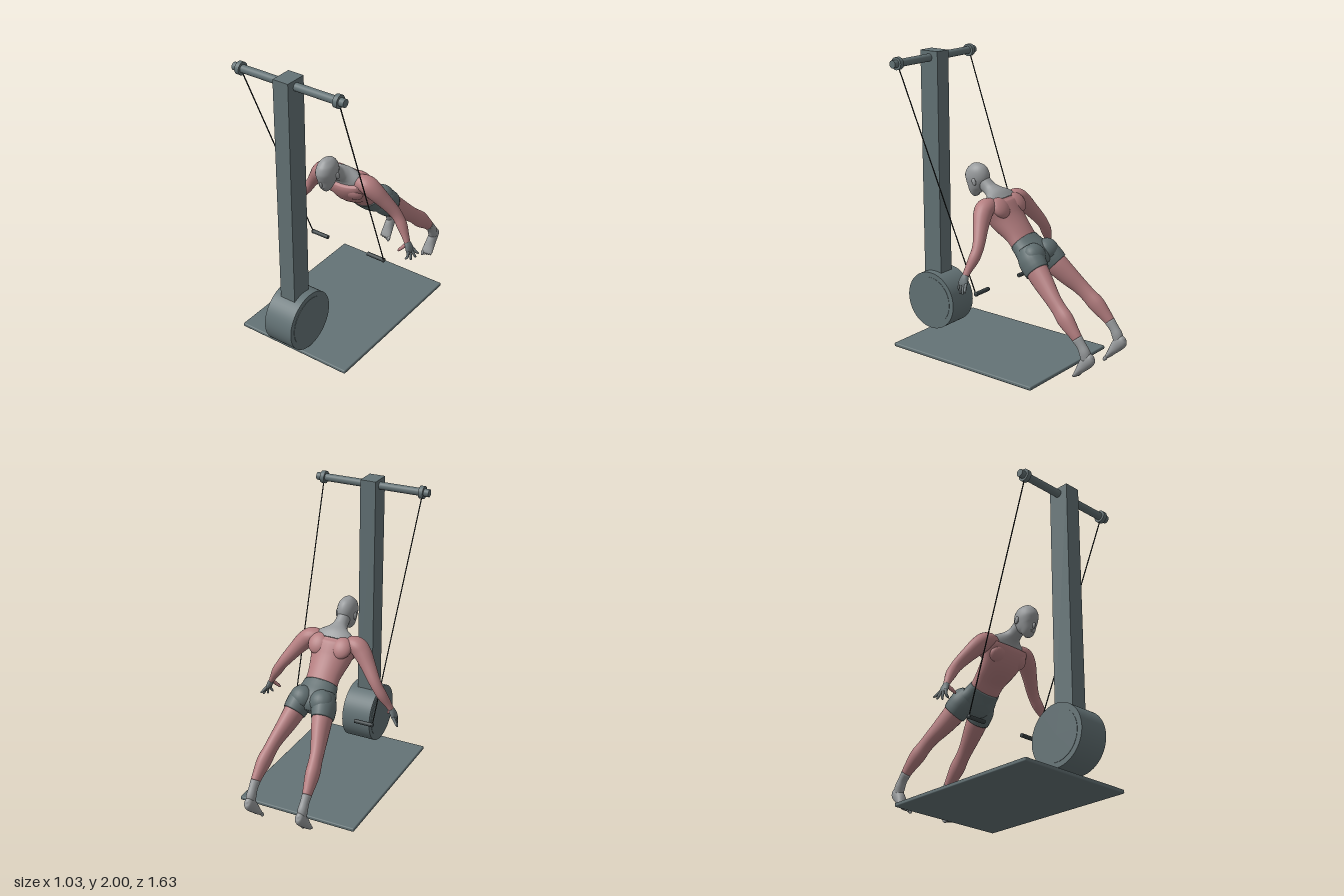
import * as THREE from 'three';
import { RoundedBoxGeometry } from 'three/addons/geometries/RoundedBoxGeometry.js';

const material = (name, color) => {
  const m = new THREE.MeshStandardMaterial({ color });
  m.name = name;
  return m;
};

// Smooth body from elliptical sections: each row is [x, y, z, radius along ref, radius across].
function loft(rows, ref = new THREE.Vector3(1, 0, 0), sides = 24, steps = 5) {
  const spline = (pts) => new THREE.CatmullRomCurve3(pts, false, 'catmullrom', 0.5);
  const path = spline(rows.map((r) => new THREE.Vector3(r[0], r[1], r[2])));
  const size = spline(rows.map((r) => new THREE.Vector3(r[3], r[4], 0)));
  const n = (rows.length - 1) * steps;
  const pos = [], index = [];
  for (let i = 0; i <= n; i++) {
    const c = path.getPoint(i / n), s = size.getPoint(i / n), t = path.getTangent(i / n);
    const u = ref.clone().addScaledVector(t, -ref.dot(t)).normalize();
    const v = t.clone().cross(u);
    for (let j = 0; j < sides; j++) {
      const a = (j / sides) * Math.PI * 2;
      const p = c.clone().addScaledVector(u, Math.cos(a) * s.x).addScaledVector(v, Math.sin(a) * s.y);
      pos.push(p.x, p.y, p.z);
    }
  }
  const first = (n + 1) * sides, last = first + 1;
  pos.push(...rows[0].slice(0, 3), ...rows[rows.length - 1].slice(0, 3));
  for (let j = 0; j < sides; j++) {
    const k = (j + 1) % sides;
    index.push(first, k, j, last, n * sides + j, n * sides + k);
    for (let i = 0; i < n; i++) {
      const a = i * sides, b = a + sides;
      index.push(a + j, a + k, b + k, a + j, b + k, b + j);
    }
  }
  const g = new THREE.BufferGeometry();
  g.setAttribute('position', new THREE.Float32BufferAttribute(pos, 3));
  g.setIndex(index);
  g.computeVertexNormals();
  return g;
}

export function createModel() {
  const model = new THREE.Group();
  const frame = material('frame slate', 0x647376);
  const cable = material('cable black', 0x202424);
  const grip = material('grip charcoal', 0x3a4244);
  const muscle = material('muscle pink', 0xb47e80);
  const skin = material('skin grey', 0x979a9c);
  const cloth = material('shorts slate', 0x5f6d6f);
  const glove = material('hand grey', 0x6e787b);

  const add = (name, geo, mat, x = 0, y = 0, z = 0) => {
    const m = new THREE.Mesh(geo, mat);
    m.name = name;
    m.position.set(x, y, z);
    model.add(m);
    return m;
  };
  const ball = (name, mat, x, y, z, rx, ry, rz, tilt = 0) => {
    const m = add(name, new THREE.SphereGeometry(1, 24, 16), mat, x, y, z);
    m.scale.set(rx, ry, rz);
    m.rotation.x = tilt;
  };
  const drumX = (name, r, len, mat, x, y, z, seg = 32) => {
    add(name, new THREE.CylinderGeometry(r, r, len, seg), mat, x, y, z).rotation.z = Math.PI / 2;
  };
  const zAxis = new THREE.Vector3(0, 0, 1);

  // Machine: mat, column, weight drum and crossbar
  add('floorMat', new RoundedBoxGeometry(0.85, 0.026, 1.17, 2, 0.008), frame, 0, 0.013, 0.09);
  add('column', new THREE.BoxGeometry(0.112, 1.6, 0.148), frame, 0, 1.2, 0.634);
  drumX('drum', 0.205, 0.212, frame, 0, 0.255, 0.615, 64);
  drumX('drumCover', 0.17, 0.217, frame, 0, 0.255, 0.615, 64);
  drumX('crossbar', 0.026, 0.82, frame, 0, 1.955, 0.633);

  // Head: stacked horizontal sections from crown to chin
  add('head', loft([
    [0, 1.281, 0.272, 0.004, 0.005], [0, 1.272, 0.272, 0.03, 0.042],
    [0, 1.24, 0.27, 0.056, 0.078], [0, 1.19, 0.27, 0.066, 0.093],
    [0, 1.14, 0.275, 0.06, 0.077], [0, 1.1, 0.282, 0.049, 0.053],
    [0, 1.07, 0.279, 0.034, 0.034], [0, 1.055, 0.272, 0.012, 0.014],
  ]), skin);
  ball('nose', skin, 0, 1.118, 0.335, 0.011, 0.022, 0.017, 0.3);
  ball('lips', skin, 0, 1.085, 0.318, 0.019, 0.009, 0.014);

  // Neck flaring into the collar
  add('neck', loft([
    [0, 1.045, 0.07, 0.155, 0.07], [0, 1.078, 0.098, 0.13, 0.063],
    [0, 1.1, 0.128, 0.075, 0.052], [0, 1.118, 0.16, 0.05, 0.048],
    [0, 1.145, 0.2, 0.045, 0.05], [0, 1.18, 0.24, 0.045, 0.05],
  ]), skin);

  // Torso and pelvis
  add('torso', loft([
    [0, 0.79, -0.14, 0.112, 0.074], [0, 0.815, -0.117, 0.113, 0.075],
    [0, 0.865, -0.07, 0.116, 0.08], [0, 0.945, 0.02, 0.142, 0.1],
    [0, 1.02, 0.07, 0.17, 0.097], [0, 1.058, 0.09, 0.168, 0.076],
  ], undefined, 32), muscle);
  add('pelvis', loft([
    [0, 0.812, -0.12, 0.118, 0.08], [0, 0.785, -0.155, 0.127, 0.084],
    [0, 0.745, -0.205, 0.145, 0.09], [0, 0.705, -0.25, 0.13, 0.082],
    [0, 0.675, -0.278, 0.06, 0.05],
  ], undefined, 32), cloth);

  for (const s of [1, -1]) {
    const side = s > 0 ? 'left' : 'right';
    const limb = (name, rows, mat, ref, sides) =>
      add(side + name, loft(rows.map(([x, ...r]) => [x * s, ...r]), ref, sides), mat);

    // Pulley collar, cable and handle
    drumX(side + 'Collar', 0.042, 0.03, frame, s * 0.36, 1.955, 0.633);
    const line = new THREE.LineCurve3(new THREE.Vector3(s * 0.36, 1.93, 0.625), new THREE.Vector3(s * 0.295, 0.487, 0.05));
    add(side + 'Cable', new THREE.TubeGeometry(line, 1, 0.004, 8), cable);
    drumX(side + 'Handle', 0.014, 0.13, grip, s * 0.23, 0.487, 0.05, 20);
    ball(side + 'HandleEnd', grip, s * 0.295, 0.487, 0.05, 0.01, 0.016, 0.016);

    // Ear, chest, shoulder blade and buttock
    ball(side + 'Ear', skin, s * 0.066, 1.165, 0.248, 0.01, 0.026, 0.016, 0.3);
    ball(side + 'Chest', muscle, s * 0.075, 0.965, 0.098, 0.075, 0.062, 0.04, 0.6);
    ball(side + 'ShoulderBlade', muscle, s * 0.085, 1.035, 0.005, 0.07, 0.075, 0.04, 0.7);
    ball(side + 'Buttock', cloth, s * 0.072, 0.765, -0.262, 0.078, 0.078, 0.066, 0.7);

    // Arm
    limb('Arm', [
      [0.09, 1.04, 0.07, 0.05, 0.05], [0.165, 1.045, 0.068, 0.066, 0.058],
      [0.215, 1.005, 0.055, 0.062, 0.06], [0.27, 0.94, 0.026, 0.05, 0.05],
      [0.325, 0.868, -0.006, 0.041, 0.041], [0.36, 0.818, -0.017, 0.038, 0.036],
      [0.392, 0.768, -0.014, 0.037, 0.034], [0.43, 0.705, 0.0, 0.027, 0.023],
      [0.452, 0.665, 0.008, 0.023, 0.017],
    ], muscle, zAxis);

    // Hand with spread fingers
    limb('Palm', [
      [0.447, 0.674, 0.006, 0.023, 0.018], [0.46, 0.65, 0.009, 0.031, 0.019],
      [0.472, 0.622, 0.01, 0.037, 0.016], [0.478, 0.608, 0.01, 0.03, 0.01],
    ], glove, zAxis, 16);
    const tips = [[0.507, 0.578, -0.036], [0.503, 0.56, -0.012], [0.488, 0.553, 0.02], [0.466, 0.562, 0.047]];
    tips.forEach(([x, y, z], i) => {
      const bz = -0.017 + i * 0.017;
      limb('Finger' + (i + 1), [
        [0.474, 0.625, bz, 0.01, 0.01], [(0.478 + x) / 2 + 0.004, (0.615 + y) / 2, (bz + z) / 2, 0.009, 0.009],
        [x, y + 0.006, z, 0.007, 0.007], [x, y, z, 0.002, 0.002],
      ], glove, zAxis, 10);
    });
    limb('Thumb', [
      [0.45, 0.662, 0.016, 0.014, 0.014], [0.43, 0.638, 0.035, 0.012, 0.012],
      [0.412, 0.618, 0.047, 0.009, 0.009], [0.406, 0.608, 0.05, 0.003, 0.003],
    ], muscle, undefined, 10);

    // Shorts leg, bare leg and foot
    limb('ShortsLeg', [
      [0.068, 0.785, -0.19, 0.06, 0.07], [0.084, 0.735, -0.24, 0.08, 0.092],
      [0.096, 0.695, -0.28, 0.079, 0.093], [0.103, 0.668, -0.308, 0.073, 0.088],
    ], cloth);
    limb('Leg', [
      [0.098, 0.69, -0.285, 0.068, 0.08], [0.108, 0.65, -0.327, 0.065, 0.079],
      [0.128, 0.593, -0.392, 0.056, 0.07], [0.152, 0.53, -0.468, 0.046, 0.056],
      [0.165, 0.48, -0.525, 0.043, 0.053], [0.176, 0.425, -0.585, 0.046, 0.058],
      [0.184, 0.36, -0.652, 0.036, 0.043], [0.187, 0.325, -0.685, 0.03, 0.036],
    ], muscle);
    limb('Ankle', [
      [0.187, 0.328, -0.682, 0.031, 0.037], [0.187, 0.285, -0.718, 0.029, 0.033],
      [0.187, 0.245, -0.742, 0.032, 0.038], [0.187, 0.2, -0.755, 0.028, 0.035],
    ], skin);
    limb('Foot', [
      [0.185, 0.234, -0.802, 0.003, 0.004], [0.185, 0.227, -0.793, 0.022, 0.03],
      [0.185, 0.207, -0.774, 0.031, 0.044], [0.185, 0.165, -0.739, 0.034, 0.04],
      [0.184, 0.125, -0.71, 0.04, 0.027], [0.183, 0.093, -0.688, 0.042, 0.018],
      [0.183, 0.078, -0.678, 0.036, 0.011],
    ], skin);
    for (let i = 0; i < 5; i++) {
      const r = i === 0 ? 0.012 : 0.009 - i * 0.0005;
      ball(side + 'Toe' + (i + 1), skin, s * (0.151 + i * 0.0165), 0.076 + i * 0.003, -0.677 - i * 0.001, r, r * 2, r * 1.1, -0.6);
    }
  }
  return model;
}
